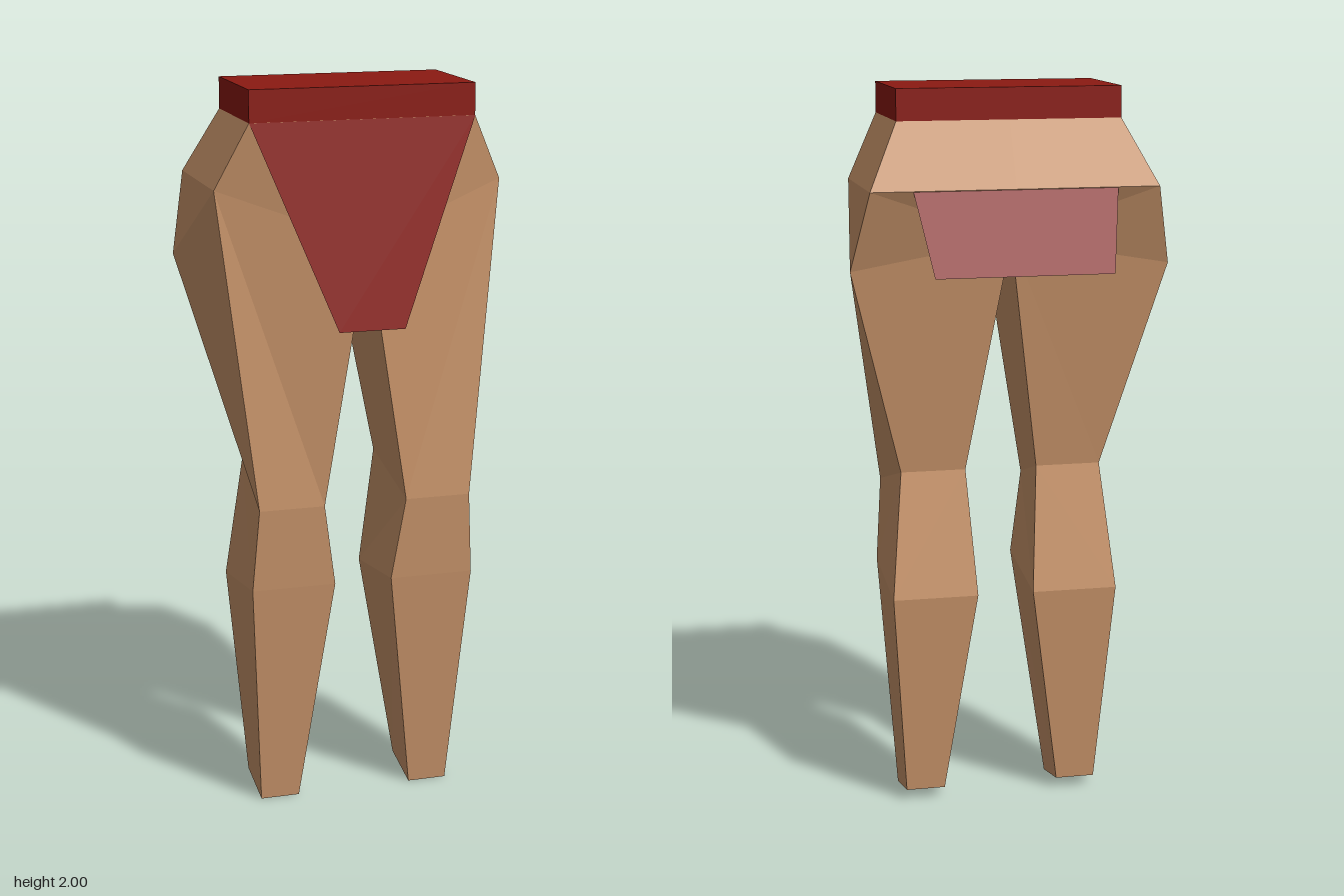
import * as THREE from 'three';

const cloth = new THREE.MeshStandardMaterial({ color: 0x8b1a12, flatShading: true, side: THREE.DoubleSide });
const skin = new THREE.MeshStandardMaterial({ color: 0xc8946a, flatShading: true, side: THREE.DoubleSide });

// Flat-shaded mesh from faces of 3 or 4 corners, counter-clockwise from outside
function facetMesh(name, faces, material, flip = false) {
  const pos = [];
  for (const f of faces) {
    const c = flip ? [...f].reverse() : f;
    // rotate the reversed quad so that its diagonal mirrors too
    const q = flip && c.length === 4 ? [c[1], c[2], c[3], c[0]] : c;
    for (let i = 1; i < q.length - 1; i++) pos.push(...q[0], ...q[i], ...q[i + 1]);
  }
  const g = new THREE.BufferGeometry();
  g.setAttribute('position', new THREE.Float32BufferAttribute(pos, 3));
  g.computeVertexNormals();
  const mesh = new THREE.Mesh(g, material);
  mesh.name = name;
  return mesh;
}

// Quads joining two four-corner rings
const bridge = (up, down) => up.map((p, i) => {
  const j = (i + 1) % up.length;
  return [p, up[j], down[j], down[i]];
});

// One half of the body: s = 1 for the left side, -1 for the right
function bodyHalf(s) {
  const group = new THREE.Group();
  group.name = s > 0 ? 'leftHalf' : 'rightHalf';
  const P = (x, y, z) => [s * x, y, z];
  const L = (x, y, z) => [s * x + 0.009, y, z]; // the lower legs sit slightly to one side

  // Pelvis corners
  const topFront = P(0.305, 1.915, 0.215), topBack = P(0.305, 1.915, -0.11);
  const midFront = P(0, 1.915, 0.215), midBack = P(0, 1.915, -0.11);
  const hipFront = P(0.39, 1.74, 0.175), hipBack = P(0.39, 1.74, -0.197);
  const seatMid = P(0, 1.74, -0.197), buttock = P(0.435, 1.525, -0.13);
  const crotchFront = P(0, 1.6, 0.26), crotchBack = P(0, 1.6, -0.13);

  group.add(facetMesh('pelvis', [
    [topFront, midFront, crotchFront, hipFront],
    [topBack, topFront, hipFront, hipBack],
    [hipBack, hipFront, buttock],
    [midBack, topBack, hipBack, seatMid],
    [seatMid, hipBack, crotchBack],
    [hipBack, buttock, crotchBack],
  ], skin, s < 0));

  // Leg rings: front outer, front inner, back inner, back outer
  const thigh = [hipFront, crotchFront, crotchBack, buttock];
  const knee = [L(0.296, 0.88, 0.215), L(0.115, 0.88, 0.215), L(0.1, 0.955, -0.04), L(0.28, 0.955, -0.04)];
  const calf = [L(0.312, 0.65, 0.195), L(0.08, 0.65, 0.195), L(0.078, 0.61, -0.105), L(0.315, 0.61, -0.105)];
  const ankle = [L(0.272, 0, 0.11), L(0.163, 0, 0.11), L(0.163, 0.03, -0.04), L(0.272, 0.03, -0.04)];
  group.add(facetMesh('thigh', bridge(thigh, knee), skin, s < 0));
  group.add(facetMesh('kneeSection', bridge(knee, calf), skin, s < 0));
  group.add(facetMesh('lowerLeg', bridge(calf, ankle), skin, s < 0));
  return group;
}

export function createModel() {
  const model = new THREE.Group();
  model.name = 'lowerBody';

  // Belt
  const belt = new THREE.Mesh(new THREE.BoxGeometry(0.61, 0.085, 0.325), cloth);
  belt.position.set(0, 1.9575, 0.0525);
  belt.name = 'belt';
  model.add(belt);

  // Loincloth flaps hanging outward from the belt
  model.add(facetMesh('frontFlap', [[
    [0.305, 1.915, 0.217], [-0.305, 1.915, 0.217], [-0.09, 1.375, 0.302], [0.09, 1.375, 0.302],
  ]], cloth));
  model.add(facetMesh('backFlap', [[
    [-0.305, 1.915, -0.106], [0.305, 1.915, -0.106], [0.24, 1.525, -0.305], [-0.24, 1.525, -0.305],
  ]], cloth));

  for (const s of [1, -1]) model.add(bodyHalf(s));
  return model;
}
